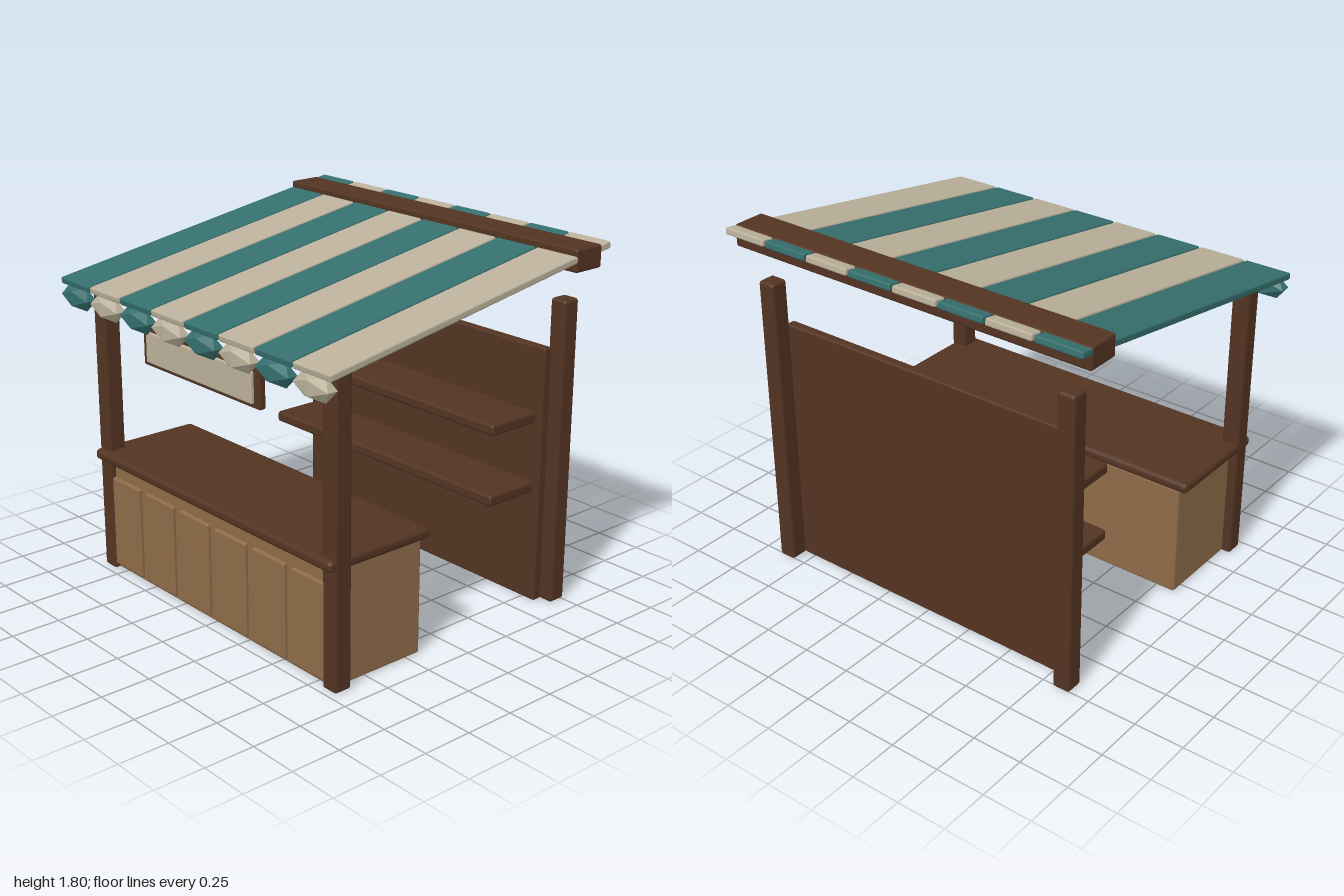
import * as THREE from 'three';
import { RoundedBoxGeometry } from 'three/addons/geometries/RoundedBoxGeometry.js';

export function createModel() {
  const model = new THREE.Group();
  model.name = 'marketStall';

  const material = (name, color, flatShading = false) =>
    Object.assign(new THREE.MeshStandardMaterial({ color, flatShading }), { name });
  const darkWood = material('dark wood', 0x533422);
  const lightWood = material('light wood', 0x8f6b49);
  const teal = material('teal cloth', 0x356f6e, true);
  const cream = material('cream cloth', 0xbab09a, true);

  // Bevelled box given by its extents along each axis
  function box(name, mat, [x0, x1], [y0, y1], [z0, z1], bevel = 0.012, parent = model) {
    const geo = new RoundedBoxGeometry(x1 - x0, y1 - y0, z1 - z0, 2, bevel);
    const mesh = new THREE.Mesh(geo, mat);
    mesh.position.set((x0 + x1) / 2, (y0 + y1) / 2, (z0 + z1) / 2);
    mesh.name = name;
    parent.add(mesh);
    return mesh;
  }

  // Corner posts
  for (const [side, x] of [['right', -0.855], ['left', 0.855]]) {
    const span = [x - 0.046, x + 0.046];
    box(`${side}FrontPost`, darkWood, span, [0.005, 1.51], [0.624, 0.718], 0.016);
    box(`${side}BackPost`, darkWood, span, [0.005, 1.53], [-0.762, -0.668], 0.016);
  }

  // Counter with six raised front panels
  box('counterBody', lightWood, [-0.855, 0.855], [0.008, 0.592], [0.172, 0.69]);
  for (let i = 0; i < 6; i++) {
    const x = -0.7025 + i * 0.281;
    box('counterPanel', lightWood, [x - 0.117, x + 0.117], [0.03, 0.503], [0.67, 0.708], 0.01);
  }
  box('counterTop', darkWood, [-0.9, 0.9], [0.588, 0.643], [0.158, 0.75], 0.022);

  // Back wall and shelves
  box('backWall', darkWood, [-0.83, 0.83], [0.005, 1.295], [-0.672, -0.622], 0.01);
  for (const y of [0.592, 0.945])
    box('shelf', darkWood, [-0.79, 0.79], [y - 0.028, y + 0.028], [-0.64, -0.335], 0.015);

  // Blank sign hung on the front
  box('signBoard', darkWood, [-0.435, 0.435], [1.2, 1.4], [0.712, 0.748], 0.01);
  box('signFace', cream, [-0.395, 0.395], [1.222, 1.37], [0.735, 0.762], 0.006);

  // Ridge beam over the back of the awning
  box('ridgeBeam', darkWood, [-0.998, 0.998], [1.687, 1.797], [-0.788, -0.618], 0.012);

  // Sloping striped awning, each stripe ending in a faceted scallop
  const awning = new THREE.Group();
  awning.name = 'awning';
  model.add(awning);
  const scallopGeo = new THREE.IcosahedronGeometry(1 / 0.851, 0);
  for (let i = 0; i < 8; i++) {
    const x = -0.877 + i * 0.2505;
    const cloth = i % 2 ? cream : teal;
    const stripe = box('awningStripe', cloth, [x - 0.12, x + 0.12], [1.628, 1.662], [-0.86, 0.842], 0.008, awning);
    stripe.rotation.x = 0.166;
    const scallop = new THREE.Mesh(scallopGeo, cloth);
    scallop.name = 'awningScallop';
    scallop.position.set(x, 1.442, 0.81);
    scallop.scale.set(0.11, 0.058, 0.044);
    awning.add(scallop);
  }
  return model;
}
